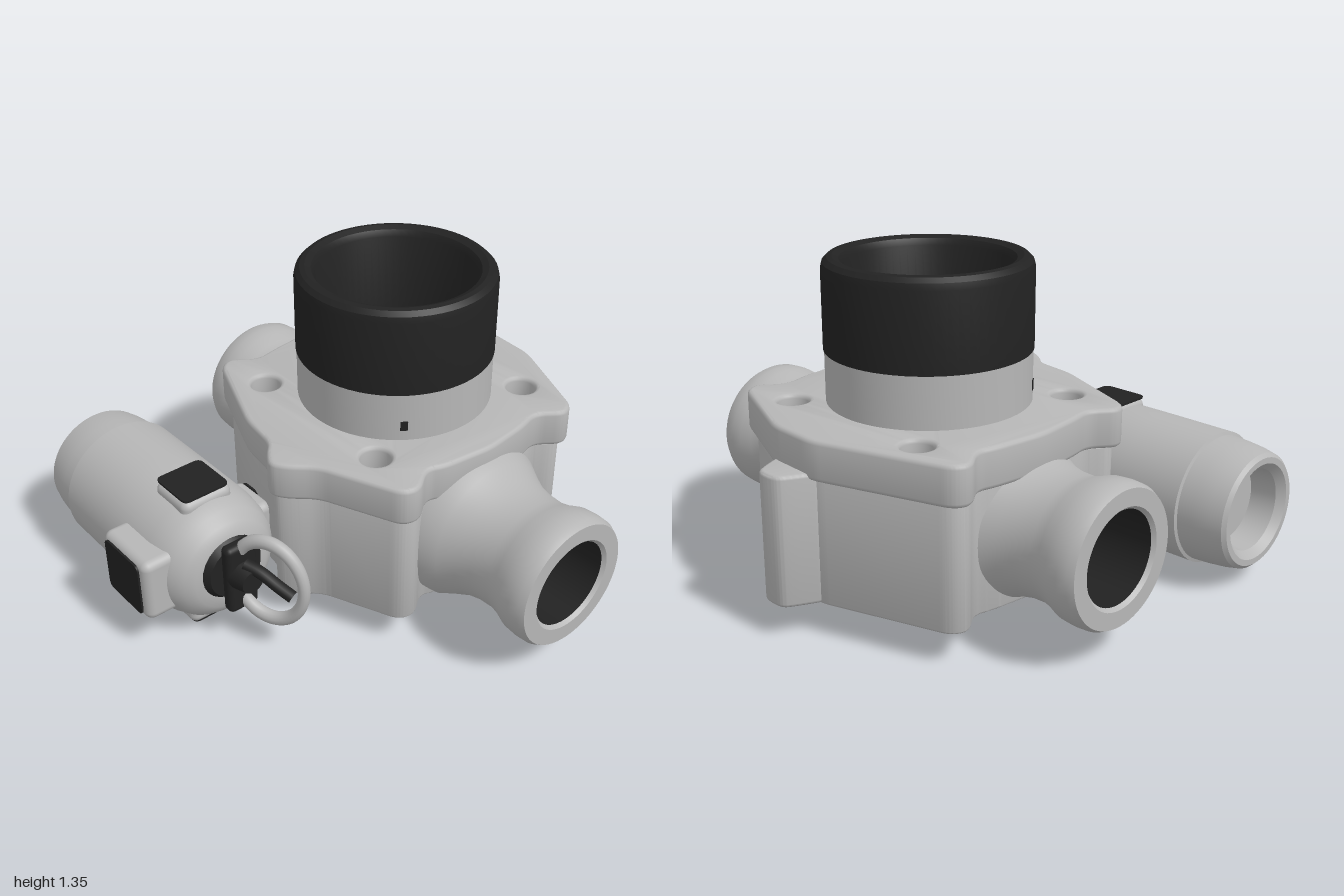
import * as THREE from 'three';
import { toCreasedNormals } from 'three/addons/utils/BufferGeometryUtils.js';
import { RoundedBoxGeometry } from 'three/addons/geometries/RoundedBoxGeometry.js';

const metal = new THREE.MeshStandardMaterial({ color: 0xb6b6b6 });
metal.name = 'grey metal';
const rubber = new THREE.MeshStandardMaterial({ color: 0x222222 });
rubber.name = 'black rubber';

const CX = -0.047, CZ = -0.257; // axis of the vertical collar

function mesh(name, geo, mat, x = 0, y = 0, z = 0) {
  const m = new THREE.Mesh(geo, mat);
  m.name = name;
  m.position.set(x, y, z);
  return m;
}

// Turned part; profile is [radius, height], outside walls rising
function turned(profile, segments = 64) {
  const pts = profile.map(([r, h]) => new THREE.Vector2(r, h));
  return toCreasedNormals(new THREE.LatheGeometry(pts, segments), 0.55);
}

// Closed outline with rounded corners
function roundedShape(points, radius) {
  const p = points.map(([x, y]) => new THREE.Vector2(x, y));
  const shape = new THREE.Shape();
  p.forEach((c, i) => {
    const toward = (q) => {
      const d = q.clone().sub(c);
      return c.clone().addScaledVector(d.normalize(), Math.min(radius, q.distanceTo(c) * 0.45));
    };
    const a = toward(p[(i + p.length - 1) % p.length]);
    const b = toward(p[(i + 1) % p.length]);
    if (i === 0) shape.moveTo(a.x, a.y);
    else shape.lineTo(a.x, a.y);
    shape.quadraticCurveTo(c.x, c.y, b.x, b.y);
  });
  shape.closePath();
  return shape;
}

function addHole(shape, x, z, r) {
  const path = new THREE.Path();
  path.absarc(x, z, r, 0, Math.PI * 2, true);
  shape.holes.push(path);
}

// Horizontal slab from an x/z outline
function slab(shape, bottom, top, bevel) {
  const geo = new THREE.ExtrudeGeometry(shape, {
    depth: top - bottom - 2 * bevel, curveSegments: 16,
    bevelEnabled: bevel > 0, bevelThickness: bevel, bevelSize: bevel, bevelOffset: -bevel, bevelSegments: 3,
  });
  geo.rotateX(Math.PI / 2);
  geo.translate(0, top - bevel, 0);
  return toCreasedNormals(geo, 0.6);
}

export function createModel() {
  const model = new THREE.Group();
  model.name = 'valve with motor';

  // Flange and housing share one outline
  const outline = [
    [-0.1, -0.895], [0.12, -0.885], [0.52, -0.715], [0.55, -0.65], [0.475, -0.55], [0.505, -0.45],
    [0.53, -0.25], [0.505, -0.03], [0.475, 0.04], [0.55, 0.14], [0.53, 0.21], [0.2, 0.35],
    [0.12, 0.44], [0.06, 0.475], [0, 0.44], [-0.06, 0.385], [-0.24, 0.36], [-0.64, 0.2], [-0.67, 0.14],
    [-0.595, 0.04], [-0.615, -0.05], [-0.64, -0.25], [-0.615, -0.47], [-0.595, -0.55], [-0.67, -0.65], [-0.64, -0.715],
  ];
  const bolts = [[-0.41, -0.66], [0.29, -0.66], [-0.41, 0.135], [0.29, 0.135]];

  const flange = roundedShape(outline, 0.045);
  bolts.forEach(([x, z]) => addHole(flange, x, z, 0.062));
  model.add(mesh('flange', slab(flange, 0.635, 0.795, 0.018), metal));

  const inset = outline.map(([x, z]) => [CX + (x - CX) * 0.95, CZ + (z - CZ) * 0.96]);
  const housing = roundedShape(inset, 0.045);
  bolts.forEach(([x, z]) => addHole(housing, x, z, 0.036));
  addHole(housing, CX, CZ, 0.36);
  model.add(mesh('housing', slab(housing, 0.14, 0.64, 0.008), metal));

  const rib = roundedShape([[-0.12, -0.82], [-0.06, -0.95], [-0.03, -1], [0.07, -1], [0.1, -0.95], [0.15, -0.82]], 0.06);
  model.add(mesh('rearRib', slab(rib, 0.14, 0.66, 0.015), metal));

  // Underside ring, plug and hexagonal cap
  model.add(mesh('bottomRing', turned([[0.29, 0.2], [0.29, 0.135], [0.31, 0.13], [0.335, 0.13], [0.345, 0.135], [0.345, 0.2]]), metal, CX, 0, CZ));
  model.add(mesh('bottomPlug', new THREE.CylinderGeometry(0.362, 0.362, 0.05, 48), rubber, CX, 0.185, CZ));
  model.add(mesh('hexCap', new THREE.CylinderGeometry(0.1, 0.09, 0.1, 6), rubber, CX, 0.12, CZ));

  // Collar with its black sleeve, open at the top
  model.add(mesh('collar', turned([[0.4, 0.77], [0.4, 1.0]]), metal, CX, 0, CZ));
  model.add(mesh('sleeve', turned([
    [0.4, 1.0], [0.404, 1.0], [0.404, 1.31], [0.398, 1.335], [0.38, 1.352], [0.36, 1.356],
    [0.335, 1.345], [0.32, 1.32], [0.315, 0.86], [0, 0.86],
  ]), rubber, CX, 0, CZ));
  for (const s of [-1, 1]) {
    const a = s * 0.94;
    const hole = mesh('collarHole', new THREE.BoxGeometry(0.03, 0.04, 0.008), rubber, CX + Math.sin(a) * 0.399, 0.86, CZ + Math.cos(a) * 0.399);
    hole.rotation.y = a;
    model.add(hole);
  }

  // Pipe ports on both sides; the flared root is cut level with the base
  for (const s of [-1, 1]) {
    const port = new THREE.Group();
    port.name = s > 0 ? 'leftPort' : 'rightPort';
    port.position.set(0, 0.412, -0.238);
    port.rotation.y = s > 0 ? 0 : Math.PI;
    const lathe = new THREE.LatheGeometry([
      [0.34, 0.42], [0.33, 0.5], [0.295, 0.56], [0.262, 0.63], [0.247, 0.7], [0.244, 0.78], [0.255, 0.83],
      [0.274, 0.88], [0.278, 0.93], [0.275, 0.975], [0.262, 1.0], [0.195, 1.0], [0.182, 0.985],
    ].map(([r, h]) => new THREE.Vector2(r, h)), 64);
    lathe.rotateZ(-Math.PI / 2);
    const pos = lathe.attributes.position;
    for (let i = 0; i < pos.count; i++) pos.setY(i, Math.max(pos.getY(i), -0.27));
    port.add(mesh('portPipe', toCreasedNormals(lathe, 0.55), metal));
    port.add(mesh('portBore', turned([[0.182, 0.985], [0.178, 0.6]]).rotateZ(-Math.PI / 2), rubber));
    port.add(mesh('portFloor', turned([[0.18, 0.6], [0, 0.6]]).rotateZ(-Math.PI / 2), metal));
    model.add(port);
  }

  // Motor, lying along x in front of the housing
  const motor = new THREE.Group();
  motor.name = 'motor';
  motor.position.set(0, 0.32, 0.635);
  model.add(motor);
  motor.add(mesh('motorCase', turned([
    [0, -0.86], [0.16, -0.86], [0.17, -0.97], [0.2, -1.0], [0.225, -1.0], [0.24, -0.985], [0.252, -0.93], [0.26, -0.86],
    [0.264, -0.795], [0.277, -0.79], [0.279, -0.5], [0.279, -0.2], [0.268, -0.12], [0.245, -0.06],
    [0.21, -0.02], [0.17, 0.005], [0.12, 0.012], [0, 0.012],
  ]).rotateZ(-Math.PI / 2), metal));

  // Raised pads with black panels: front, bottom, back, top
  [[0.343, 0.31, 0.28, 0.24], [0.308, 0.24, 0.25, 0.21], [0.302, 0.22, 0.23, 0.2], [0.296, 0.22, 0.23, 0.21]]
    .forEach(([height, w, h, panel], i) => {
      const pad = new THREE.Group();
      pad.name = 'motorPad';
      pad.rotation.x = i * Math.PI / 2;
      pad.add(mesh('padBlock', new RoundedBoxGeometry(w, h, 0.18, 4, 0.035), metal, -0.23, 0, height - 0.09));
      const face = new THREE.ExtrudeGeometry(
        roundedShape([[-1, -1], [1, -1], [1, 1], [-1, 1]].map(([x, y]) => [x * panel / 2, y * panel / 2]), 0.03),
        { depth: 0.009, bevelEnabled: false });
      pad.add(mesh('padPanel', face, rubber, -0.235, 0, height - 0.001));
      motor.add(pad);
    });

  // Cable connector on the motor nose
  const disc = new THREE.CylinderGeometry(0.12, 0.15, 0.04, 24).rotateZ(-Math.PI / 2);
  motor.add(mesh('connectorBase', disc, rubber, 0.015, 0.02, 0));
  motor.add(mesh('connectorPlate', new RoundedBoxGeometry(0.06, 0.32, 0.14, 3, 0.025), rubber, 0.06, 0.015, 0));
  motor.add(mesh('connectorNeck', new THREE.CylinderGeometry(0.05, 0.07, 0.08, 20).rotateZ(-Math.PI / 2), rubber, 0.11, 0.03, 0));
  const lead = new THREE.CatmullRomCurve3([[0.1, 0.09, 0], [0.16, 0.07, -0.03], [0.23, 0.03, -0.06], [0.29, 0, -0.085]]
    .map((p) => new THREE.Vector3(...p)));
  motor.add(mesh('connectorLead', new THREE.TubeGeometry(lead, 20, 0.026, 10), rubber));

  // Looped cable
  const loop = mesh('cableLoop', new THREE.TorusGeometry(0.17, 0.027, 14, 56), metal, 0.18, 0.03, -0.055);
  loop.rotation.y = 0.42;
  loop.scale.set(0.9, 1.1, 1);
  motor.add(loop);

  return model;
}
